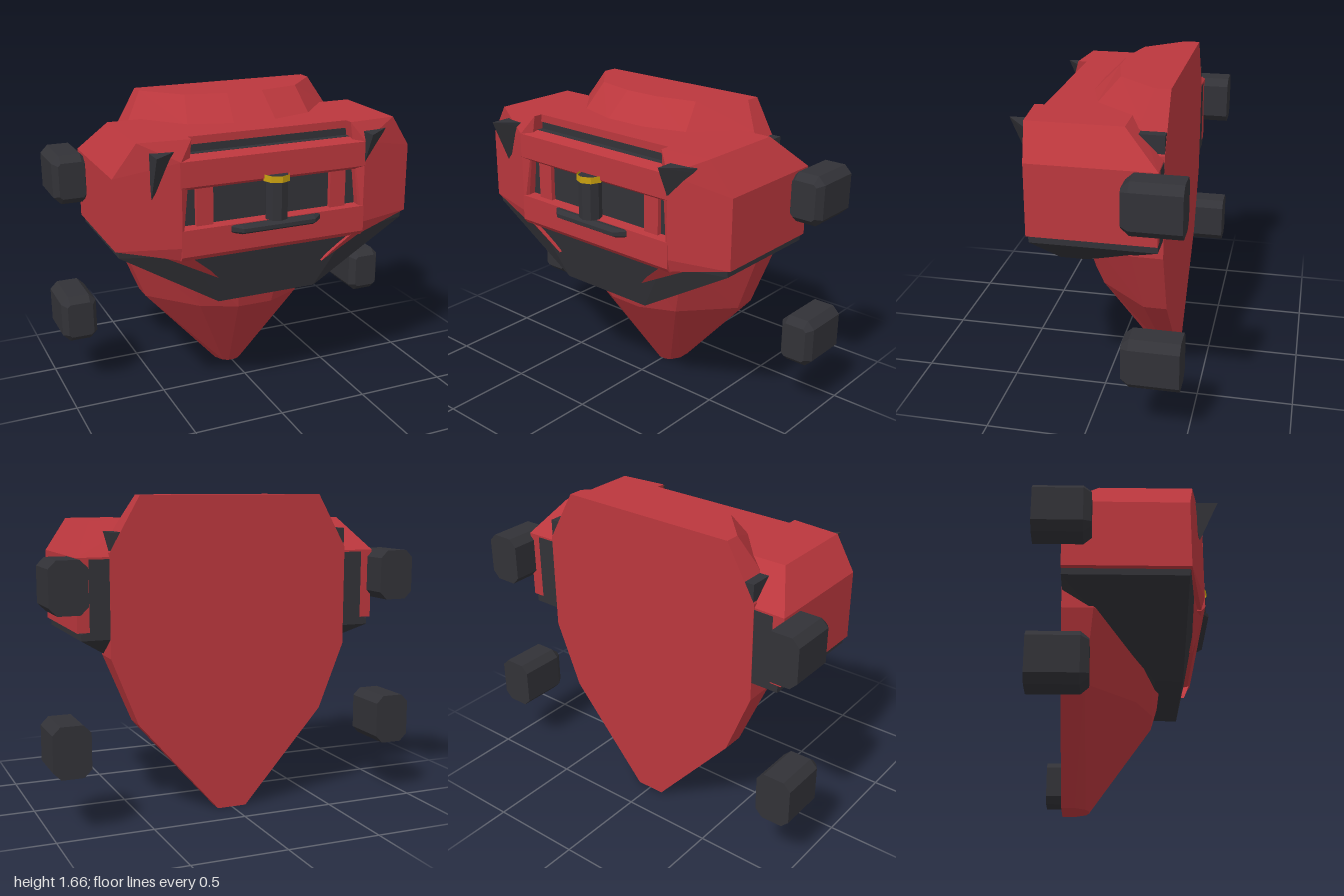
import * as THREE from 'three';
import { ConvexGeometry } from 'three/addons/geometries/ConvexGeometry.js';

const material = (name, color, side = THREE.FrontSide) => {
  const m = new THREE.MeshStandardMaterial({ color, side, flatShading: true });
  m.name = name;
  return m;
};

export function createModel() {
  const group = new THREE.Group();
  const red = material('red', 0xbb373d);
  const dark = material('charcoal', 0x323237);
  const gold = material('gold', 0xc9a010, THREE.DoubleSide);

  const add = (name, geometry, mat) => {
    const mesh = new THREE.Mesh(geometry, mat);
    mesh.name = name;
    group.add(mesh);
    return mesh;
  };
  // Faceted solid around a few corner points, optionally flipped in x
  const hull = (name, points, mat, s = 1) =>
    add(name, new ConvexGeometry(points.map(([x, y, z]) => new THREE.Vector3(s * x, y, z))), mat);
  // The same, with every point mirrored in x
  const symmetricHull = (name, points, mat) =>
    hull(name, points.flatMap(([x, y, z]) => [[x, y, z], [-x, y, z]]), mat);
  const box = (name, x0, x1, y0, y1, z0, z1, mat) => {
    const g = new THREE.BoxGeometry(x1 - x0, y1 - y0, z1 - z0);
    g.translate((x0 + x1) / 2, (y0 + y1) / 2, (z0 + z1) / 2);
    return add(name, g, mat);
  };
  // Bar running across x with a (y, z) profile
  const crossBar = (name, half, profile, mat) =>
    symmetricHull(name, profile.map(([y, z]) => [half, y, z]), mat);

  // Shield: rings of [y, then half-section x, z from side to middle]
  const rings = [
    [0, 0.08, -0.26, 0.05, -0.205, 0.02, -0.19],
    [0.5, 0.52, -0.21, 0.29, 0.05, 0.1, 0.14],
    [0.85, 0.66, -0.17, 0.4, 0.13, 0.13, 0.24],
    [1.38, 0.66, -0.17, 0.4, 0.13, 0.13, 0.22],
    [1.52, 0.58, -0.2, 0.35, 0.07, 0.12, 0.14],
    [1.66, 0.5, -0.25, 0.32, -0.05, 0.1, 0],
  ].map(([y, w, zs, xm, zm, xc, zc]) => {
    const half = [[w, -0.33], [w, zs], [xm, zm], [xc, zc]];
    const right = half.map(([x, z]) => [x, y, z]);
    const left = half.map(([x, z]) => [-x, y, z]).reverse();
    return [...right, ...left];
  });
  const verts = [];
  const tri = (a, b, c) => verts.push(...a, ...b, ...c);
  for (let r = 0; r < rings.length - 1; r++) {
    const a = rings[r], b = rings[r + 1];
    for (let i = 0; i < a.length; i++) {
      const j = (i + 1) % a.length;
      tri(a[i], b[j], a[j]);
      tri(a[i], b[i], b[j]);
    }
  }
  const bottom = rings[0], top = rings[rings.length - 1];
  for (let i = 1; i < top.length - 1; i++) {
    tri(bottom[0], bottom[i], bottom[i + 1]);
    tri(top[0], top[i + 1], top[i]);
  }
  const shield = new THREE.BufferGeometry();
  shield.setAttribute('position', new THREE.Float32BufferAttribute(verts, 3));
  shield.computeVertexNormals();
  add('shield', shield, red);

  // Inner core, seen in the recess, the groove and from behind
  box('core', -0.8, 0.8, 0.97, 1.35, -0.328, 0.29, dark);
  box('recessWall', -0.52, 0.52, 0.95, 1.45, 0, 0.335, dark);
  box('grooveWall', -0.47, 0.47, 1.4, 1.5, 0, 0.3, dark);
  box('topPlate', -0.45, 0.45, 1.49, 1.53, -0.15, 0.31, red);

  // Collar under the front
  symmetricHull('collar', [
    [0.81, 0.985, -0.328], [0.81, 0.95, -0.328], [0.81, 0.985, 0.305], [0.81, 0.95, 0.3],
    [0.66, 0.86, -0.13], [0.28, 0.625, 0.15], [0.28, 0.625, 0.295], [0.45, 0.93, 0.36],
  ], dark);

  // Front frame above and below the recess
  crossBar('upperBar', 0.515, [[1.45, 0.33], [1.43, 0.4], [1.3, 0.4], [1.28, 0.37], [1.28, 0.3]], red);
  crossBar('lowerBar', 0.515, [[1.085, 0.3], [1.08, 0.4], [0.94, 0.4], [0.915, 0.38], [0.915, 0.3]], red);

  for (const s of [1, -1]) {
    hull('shoulder', [
      [0.83, 0.99, -0.33], [0.83, 0.99, 0.31], [0.83, 1.36, 0.31], [0.83, 1.36, -0.33],
      [0.71, 1.53, -0.15], [0.71, 1.53, 0.335], [0.44, 1.53, -0.15], [0.44, 1.53, 0.36],
      [0.51, 1.43, 0.4], [0.51, 0.99, 0.4], [0.51, 0.92, 0.38],
      [0.51, 0.99, -0.32], [0.51, 1.36, -0.32],
    ], red, s);
    hull('tusk', [
      [0.66, 0.97, 0.335], [0.3, 0.78, 0.345], [0.35, 0.835, 0.365], [0.46, 0.93, 0.39],
      [0.55, 0.95, 0.28], [0.3, 0.78, 0.28],
    ], red, s);
    const [x0, x1] = s > 0 ? [0.33, 0.42] : [-0.42, -0.33];
    box('recessPost', x0, x1, 1.07, 1.29, 0.32, 0.36, red);
    const [b0, b1] = s > 0 ? [0.52, 0.655] : [-0.655, -0.52];
    box('rearBlock', b0, b1, 1.34, 1.48, -0.329, -0.15, dark);

    // Corner pads with a bevelled front end
    for (const y of [0.4325, 1.23]) {
      const octagon = (w, h, c, z) => [[w, h - c], [w - c, h]].flatMap(([x, v]) =>
        [[x, v], [-x, v], [x, -v], [-x, -v]].map(([px, py]) => [0.903 + px, y + py, z]));
      hull('cornerPad', [
        ...octagon(0.097, 0.132, 0.04, -0.47),
        ...octagon(0.097, 0.132, 0.04, -0.22),
        ...octagon(0.07, 0.097, 0.015, -0.18),
      ], dark, s);
    }
  }

  // Spikes, both leaning the same way
  for (const x of [-0.655, 0.51]) {
    hull('spike', [
      [0, 1.48, 0.47], [0.145, 1.48, 0.355], [0.145, 1.45, 0.345], [0, 1.25, 0.37], [0, 1.48, 0.33],
    ].map(([px, py, pz]) => [x + px, py, pz]), dark);
  }

  // Central post with its ring, and the lip below
  add('post', new THREE.CylinderGeometry(0.06, 0.06, 0.23, 8), dark).position.set(0, 1.2, 0.4);
  add('postRing', new THREE.CylinderGeometry(0.072, 0.072, 0.035, 8, 1, true), gold)
    .position.set(0, 1.303, 0.395);
  symmetricHull('lip', [
    [0.25, 1.035, 0.39], [0.25, 1.075, 0.39], [0.25, 1.045, 0.405], [0.25, 1.07, 0.405],
    [0.2, 1.03, 0.425], [0.2, 1.08, 0.425], [0.2, 1.045, 0.45], [0.2, 1.065, 0.45],
  ], dark);

  return group;
}
